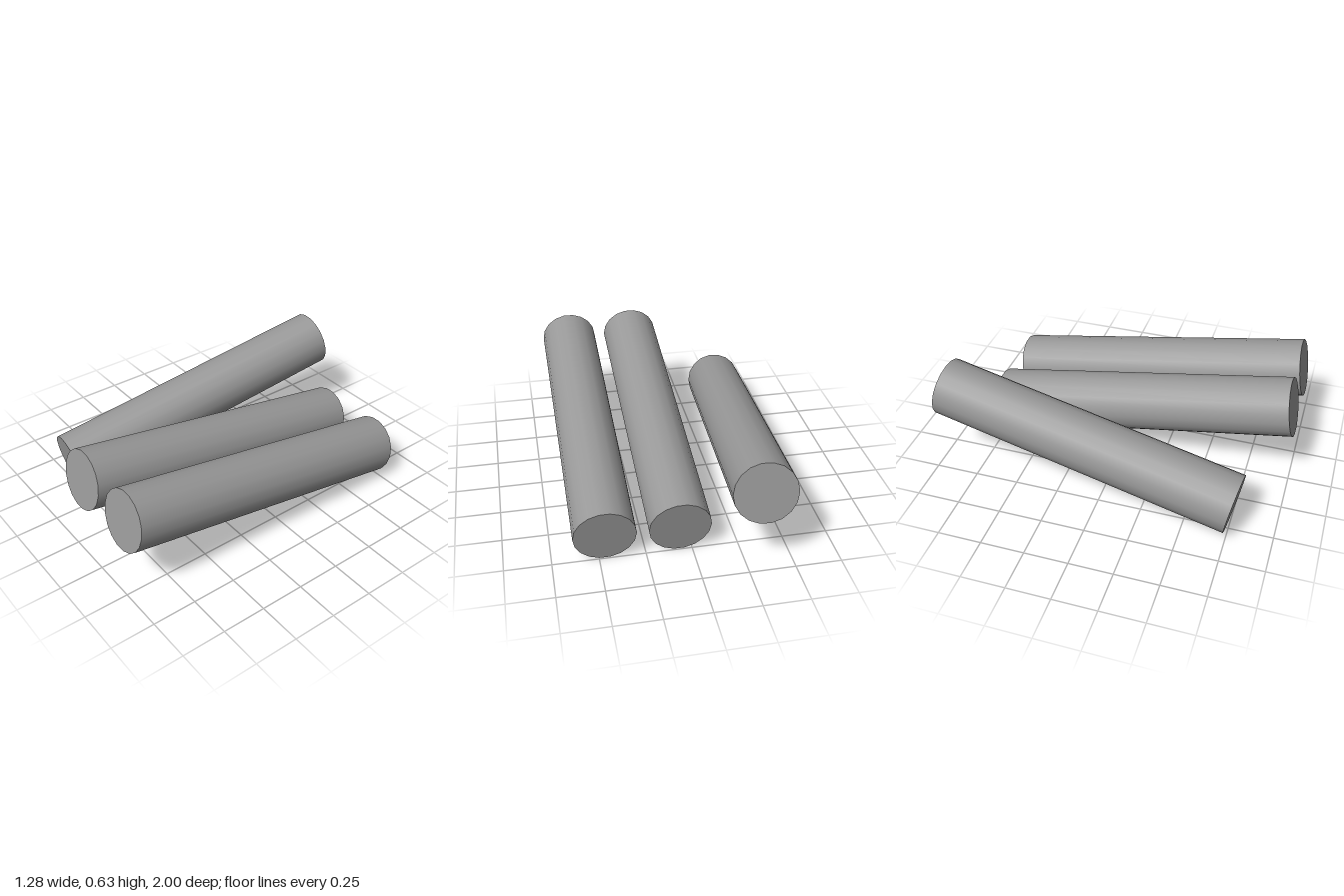
import * as THREE from 'three';

const SIDES = 18, RADIUS = 0.168, LENGTH = 1.767;
const TILT = THREE.MathUtils.degToRad(80);
const YAW = THREE.MathUtils.degToRad(-4.95);

export function createModel() {
  const group = new THREE.Group();
  const material = new THREE.MeshStandardMaterial({ color: 0x999999 });

  // One straight log, tipped off the vertical and turned about y
  function addLog(name, x, z, tilt, yaw) {
    const geometry = new THREE.CylinderGeometry(RADIUS, RADIUS, LENGTH, SIDES, 1, false, Math.PI / SIDES);
    geometry.rotateX(tilt);
    geometry.rotateY(yaw);
    const log = new THREE.Mesh(geometry, material);
    log.name = name;
    log.position.set(x, 0.317, z);
    group.add(log);
  }

  // Two parallel logs rising to the front
  addLog('leftLog', 0.468, 0.1, TILT, 0);
  addLog('middleLog', 0.068, 0.1, TILT, 0);
  // Slanted log rising to the back
  addLog('rightLog', -0.397, -0.1, -TILT, YAW);

  return group;
}
